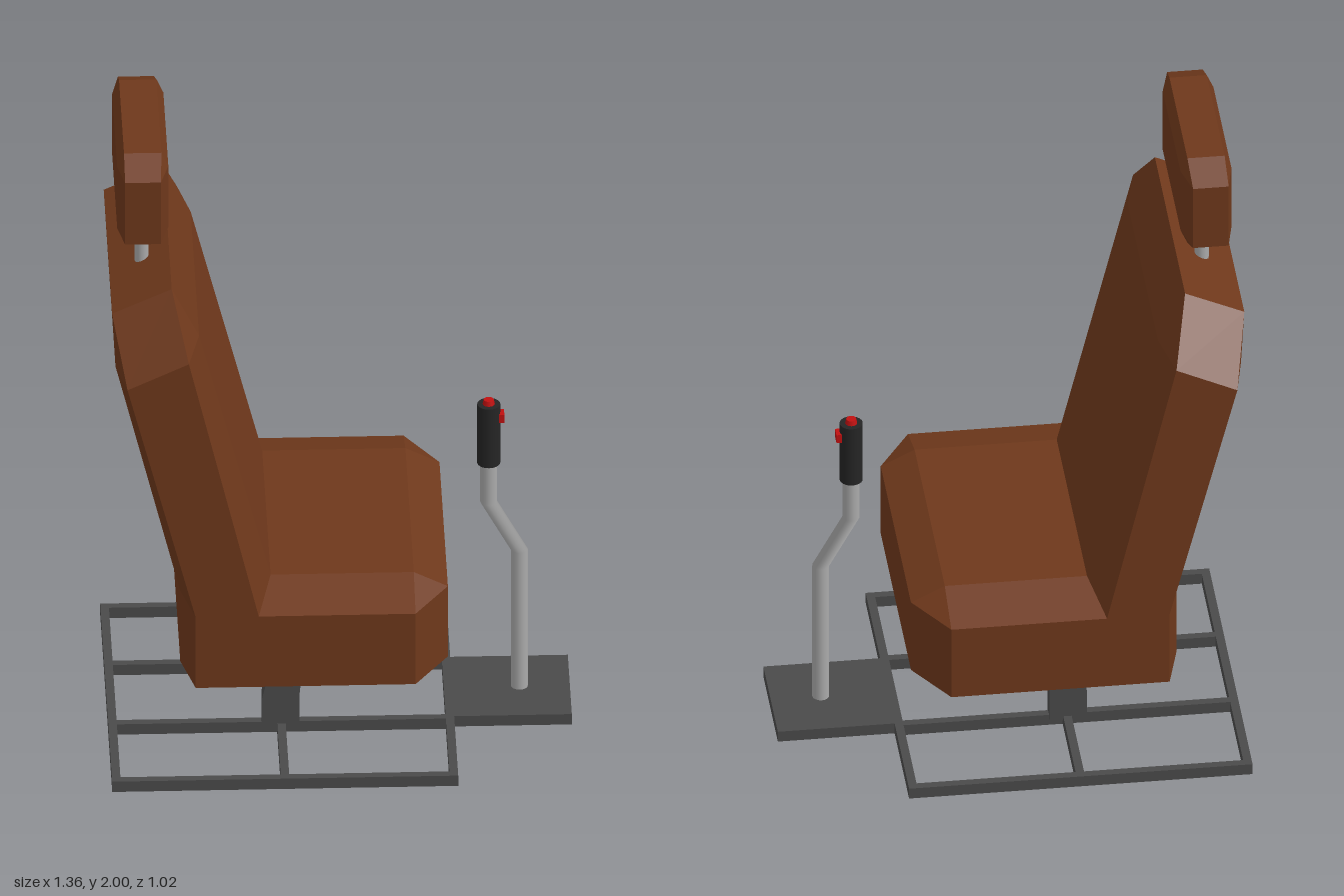
import * as THREE from 'three';

const paint = (color, flatShading = false) => new THREE.MeshStandardMaterial({ color, flatShading });

// Skin a stack of matching counter-clockwise xy profiles along z, with capped ends
function loft(sections) {
  const pos = [];
  const tri = (...pts) => pts.forEach(p => pos.push(...p));
  const same = (a, b) => a[0] === b[0] && a[1] === b[1];
  for (let s = 0; s < sections.length - 1; s++) {
    const A = sections[s], B = sections[s + 1], n = A.pts.length;
    for (let i = 0; i < n; i++) {
      const j = (i + 1) % n;
      const a = [...A.pts[i], A.z], b = [...A.pts[j], A.z];
      const c = [...B.pts[j], B.z], d = [...B.pts[i], B.z];
      if (same(a, b)) tri(a, c, d);
      else if (same(c, d)) tri(a, b, c);
      else { tri(a, b, c); tri(a, c, d); }
    }
  }
  for (const [sec, front] of [[sections[0], false], [sections.at(-1), true]]) {
    const pts = sec.pts.filter((p, i, all) => !same(p, all[(i + 1) % all.length]));
    const flat = pts.map(p => new THREE.Vector2(...p));
    for (const [i, j, k] of THREE.ShapeUtils.triangulateShape(flat, [])) {
      const [a, b, c] = [i, j, k].map(q => [...pts[q], sec.z]);
      if (front) tri(a, b, c); else tri(a, c, b);
    }
  }
  const geo = new THREE.BufferGeometry();
  geo.setAttribute('position', new THREE.Float32BufferAttribute(pos, 3));
  geo.computeVertexNormals();
  return geo;
}

// Cushion: full profile in the middle, smaller profile at both ends
const cushion = (mid, end, zMid, zEnd) => loft([
  { z: -zEnd, pts: end }, { z: -zMid, pts: mid }, { z: zMid, pts: mid }, { z: zEnd, pts: end },
]);

export function createModel() {
  const model = new THREE.Group();
  const leather = paint(0x6e381b, true);
  const iron = paint(0x4a4a4a, true);
  const steel = paint(0xaaaaaa);
  const rubber = paint(0x252525);
  const red = paint(0xc01010);

  const add = (name, geo, mat, x = 0, y = 0, z = 0, parent = model) => {
    const mesh = new THREE.Mesh(geo, mat);
    mesh.name = name;
    mesh.position.set(x, y, z);
    parent.add(mesh);
    return mesh;
  };

  // Floor frame: two cells long, three cells wide
  const frame = new THREE.Group();
  frame.name = 'floorFrame';
  model.add(frame);
  const bar = 0.025, high = 0.035, x0 = -0.68, x1 = 0.335, half = 0.51;
  const cx = (x0 + x1) / 2;
  for (const x of [x0 + bar / 2, cx, x1 - bar / 2])
    add('crossBar', new THREE.BoxGeometry(bar, high, half * 2), iron, x, high / 2, 0, frame);
  for (const z of [-half + bar / 2, -0.17, 0.17, half - bar / 2])
    add('longBar', new THREE.BoxGeometry(x1 - x0, high, bar), iron, cx, high / 2, z, frame);
  add('leverPlate', new THREE.BoxGeometry(0.345, high, 0.34), iron, 0.5075, high / 2, 0);

  // Bent legs
  const legShape = new THREE.Shape(
    [[-0.23, 0.02], [-0.12, 0.02], [-0.12, 0.13], [-0.1, 0.33], [-0.18, 0.33], [-0.23, 0.12]]
      .map(p => new THREE.Vector2(...p)));
  for (const z of [-0.17, 0.17])
    add('leg', new THREE.ExtrudeGeometry(legShape, { depth: 0.05, bevelEnabled: false }), iron, 0, 0, z - 0.025);

  // Seat and backrest in one upholstered body
  const seatMid = [[-0.475, 0.35], [-0.37, 0.3], [0.21, 0.3], [0.31, 0.35], [0.31, 0.59], [0.21, 0.64],
    [-0.21, 0.64], [-0.42, 1.46], [-0.5, 1.62], [-0.675, 1.54], [-0.665, 1.36], [-0.475, 0.59]];
  const seatEnd = [[-0.435, 0.35], [-0.435, 0.35], [0.21, 0.35], [0.21, 0.35], [0.21, 0.59], [0.21, 0.59],
    [-0.25, 0.59], [-0.455, 1.455], [-0.455, 1.455], [-0.635, 1.37], [-0.635, 1.37], [-0.435, 0.59]];
  add('seatAndBackrest', cushion(seatMid, seatEnd, 0.355, 0.51), leather);

  // Headrest on two posts
  const headMid = [[-0.635, 1.7], [-0.525, 1.7], [-0.505, 1.745], [-0.505, 1.955],
    [-0.525, 2], [-0.635, 2], [-0.655, 1.955], [-0.655, 1.745]];
  const [l, r, b, t] = [-0.635, -0.53, 1.745, 1.955];
  const headEnd = [[l, b], [r, b], [r, b], [r, t], [r, t], [l, t], [l, t], [l, b]];
  add('headrest', cushion(headMid, headEnd, 0.21, 0.305), leather);
  for (const z of [-0.108, 0.108])
    add('headrestPost', new THREE.CylinderGeometry(0.021, 0.021, 0.24, 12), steel, -0.58, 1.62, z);

  // Lever: a cylinder whose rings are moved onto a cranked path, top to bottom
  const path = [[0.442, 0.82], [0.442, 0.665], [0.532, 0.5], [0.532, 0.03]];
  const stick = new THREE.CylinderGeometry(0.025, 0.025, 3, 16, 3, true);
  const p = stick.attributes.position;
  for (let i = 0; i < p.count; i++) {
    const [x, y] = path[Math.round(1.5 - p.getY(i))];
    p.setXY(i, p.getX(i) + x, y);
  }
  add('leverStick', stick, steel);

  // Grip with a thumb button and a trigger
  const grip = new THREE.Group();
  grip.name = 'leverGrip';
  grip.position.set(0.442, 0, 0);
  model.add(grip);
  add('handle', new THREE.CylinderGeometry(0.034, 0.034, 0.2, 20), rubber, 0, 0.898, 0, grip);
  add('thumbButton', new THREE.CylinderGeometry(0.015, 0.019, 0.02, 12), red, 0, 1.003, 0, grip);
  add('trigger', new THREE.BoxGeometry(0.025, 0.028, 0.034), red, 0.033, 0.955, 0, grip);

  return model;
}
